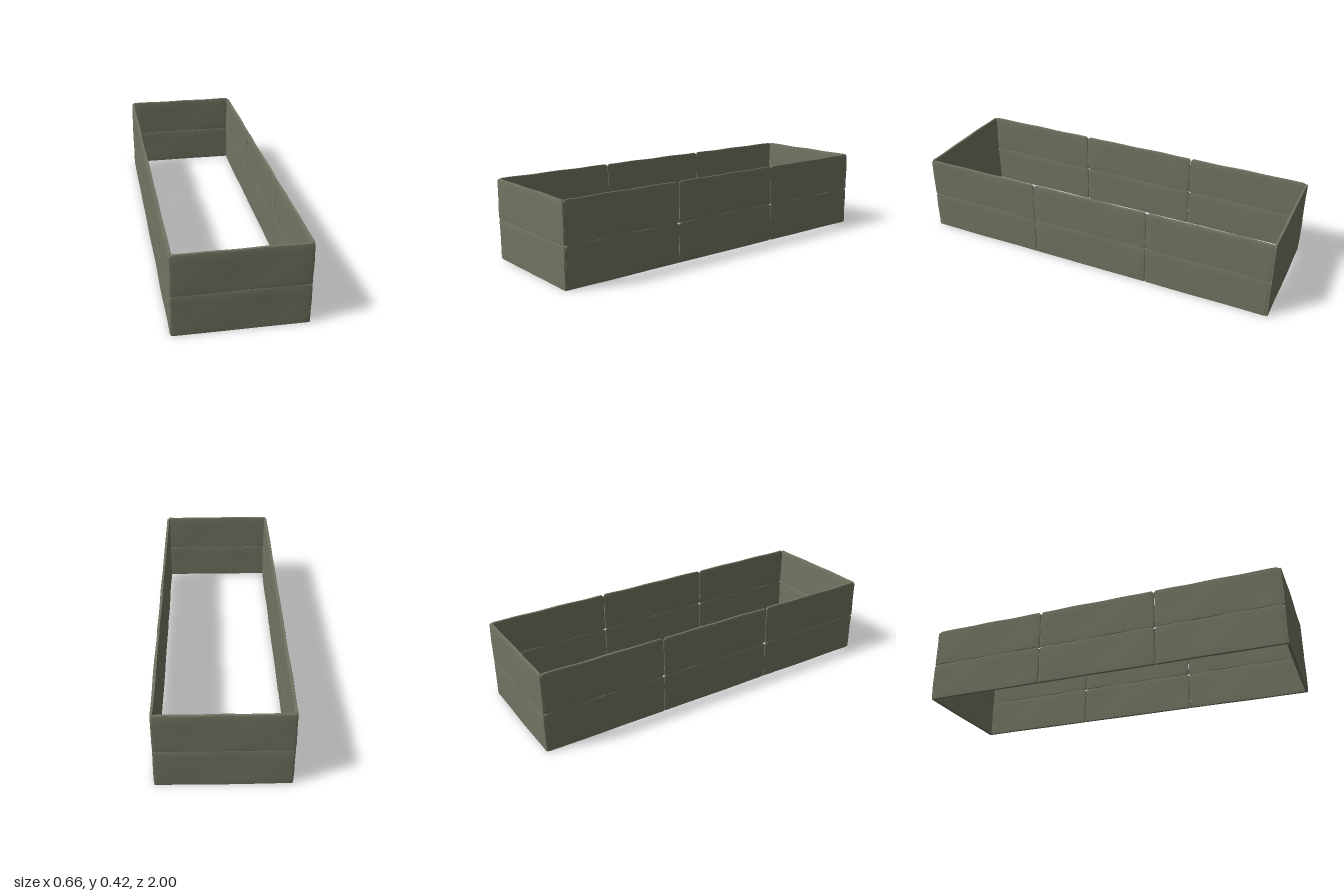
import * as THREE from 'three';

const LENGTH = 0.658, HEIGHT = 0.212, THICK = 0.02;

// Segment position along an edge, with the outermost rows packed near the ends
function spread(t, half, margin, n) {
  const i = Math.round((t + 0.5) * n);
  if (i === 0) return -half;
  if (i === n) return half;
  return (-1 + (2 * (i - 1)) / (n - 2)) * (half - margin);
}

// Worn stone slab: thin block with chipped rim, nicked top corners and uneven faces
function slabGeometry(length, height, seed) {
  const nx = 14, ny = 8;
  const g = new THREE.BoxGeometry(1, 1, 1, nx, ny, 1);
  const p = g.attributes.position;
  for (let i = 0; i < p.count; i++) {
    const u = p.getX(i), v = p.getY(i), side = Math.sign(p.getZ(i));
    let x = spread(u, length / 2, 0.012, nx);
    let y = spread(v, height / 2, 0.012, ny);
    const endRim = Math.abs(u) > 0.499, topRim = v > 0.499, bottomRim = v < -0.499;
    let half = THICK / 2 - 0.0015 + 0.0015 * Math.sin(x * 13 + seed * 2.1 + side) * Math.cos(y * 17 + seed);
    if (endRim || topRim) half -= 0.003;
    if (bottomRim) half -= 0.001;
    // wavy top and ends
    if (topRim) y += 0.0012 * Math.sin(x * 24 + seed * 1.7) - 0.001;
    if (endRim) x += 0.001 * Math.sin(y * 40 + seed) - Math.sign(u) * 0.001;
    // nicked top corners
    if (endRim && topRim) { x -= Math.sign(u) * 0.007; y -= 0.007; }
    p.setXYZ(i, x, y, side * half);
  }
  g.computeVertexNormals();
  return g;
}

export function createModel() {
  const model = new THREE.Group();
  model.name = 'stoneEnclosure';
  const stone = new THREE.MeshStandardMaterial({ color: 0x747463 });
  stone.name = 'weatheredStone';
  let seed = 1;

  // Panel of two slabs stacked one on the other
  function addPanel(name, x, z, angle, length) {
    const panel = new THREE.Group();
    panel.name = name;
    ['lowerSlab', 'upperSlab'].forEach((part, row) => {
      const mesh = new THREE.Mesh(slabGeometry(length, HEIGHT, seed++), stone);
      mesh.name = part;
      mesh.position.y = HEIGHT * (row + 0.5);
      panel.add(mesh);
    });
    panel.position.set(x, 0, z);
    panel.rotation.y = angle;
    model.add(panel);
  }

  // Long sides, three panels each
  for (const s of [1, -1]) {
    for (let i = -1; i <= 1; i++) {
      addPanel(`${s > 0 ? 'left' : 'right'}Panel${i + 2}`, s * 0.321, i * 0.659, s * Math.PI / 2, LENGTH);
    }
  }
  // Short ends
  addPanel('frontPanel', 0, 0.989, 0, 0.654);
  addPanel('backPanel', 0, -0.989, Math.PI, 0.654);
  return model;
}
